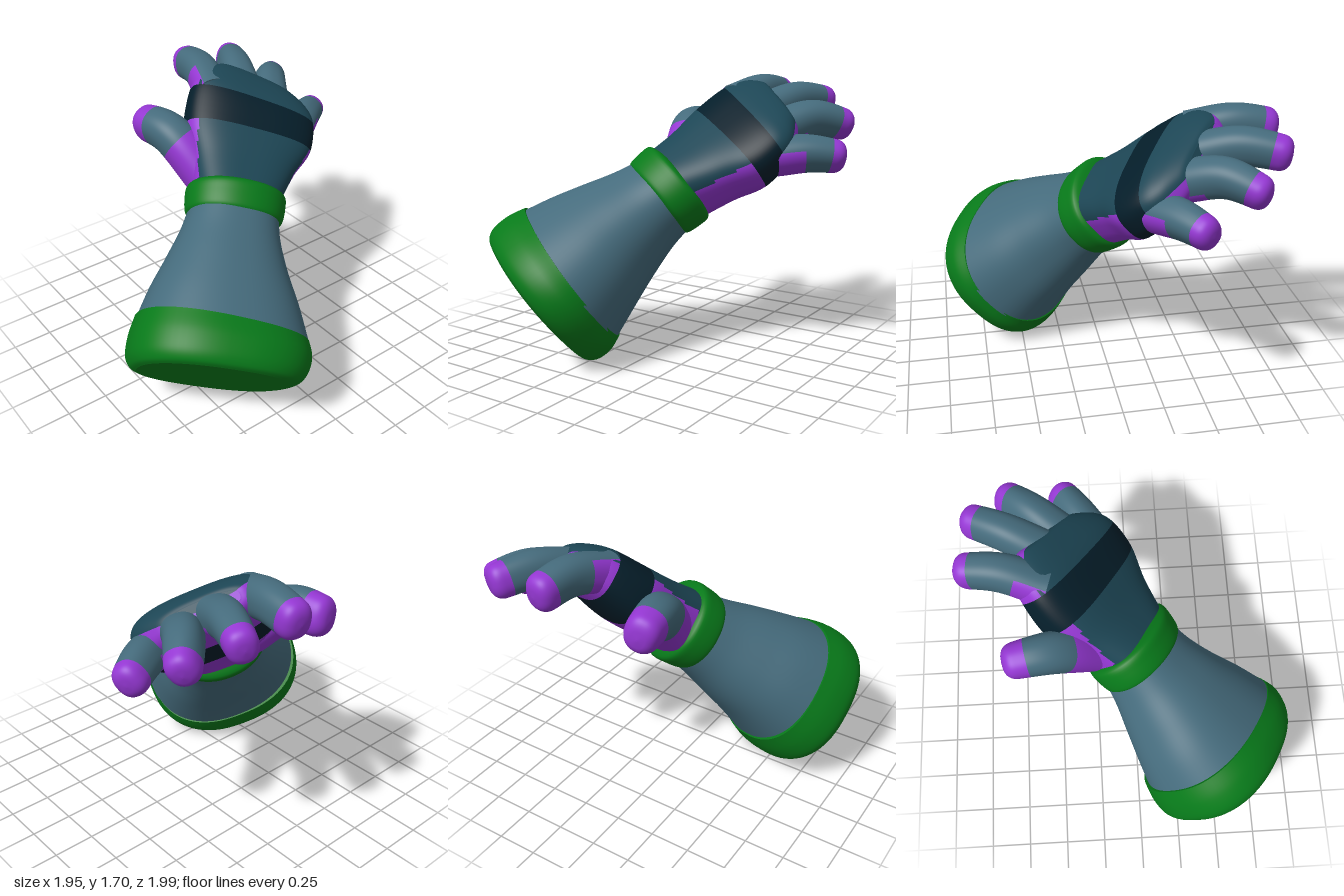
import * as THREE from 'three';

const V3 = (x, y, z) => new THREE.Vector3(x, y, z);
const mat = (name, color) => Object.assign(new THREE.MeshStandardMaterial({ color }), { name });

// Arm frame: A runs up the arm, N out of the back of the hand, W towards the little finger
const O = V3(0, 1.02, 0);
const A = V3(-0.57, 0.61, -0.55).normalize();
const W = V3(0.48, -0.3, -0.83).addScaledVector(A, -V3(0.48, -0.3, -0.83).dot(A)).normalize();
const N = W.clone().cross(A);
const SEG = 72;

// Smooth in-between rows for a short list of cross-sections
function resample(rows, sub) {
  const out = [];
  for (let i = 0; i < rows.length - 1; i++) {
    const p = [rows[Math.max(i - 1, 0)], rows[i], rows[i + 1], rows[Math.min(i + 2, rows.length - 1)]];
    for (let k = 0; k < sub; k++) {
      const t = k / sub;
      out.push(p[1].map((b, c) => {
        const [a, , d, e] = p.map((r) => r[c]);
        return b + 0.5 * t * (d - a + t * (2 * a - 5 * b + 4 * d - e + t * (3 * (b - d) + e - a)));
      }));
    }
  }
  out.push(rows[rows.length - 1]);
  return out;
}

// Skin through rings {c, u, v, e}; u x v points along the loft. pick(i, sin, cos) gives a material index
function loft(name, rings, materials, pick = () => 0) {
  const pos = [];
  const faces = materials.map(() => []);
  const spow = (x, e) => Math.sign(x) * Math.abs(x) ** (2 / e);
  const addRing = ({ c, u, v, e }) => {
    for (let j = 0; j < SEG; j++) {
      const th = (j / SEG) * Math.PI * 2;
      const p = c.clone().addScaledVector(u, spow(Math.cos(th), e)).addScaledVector(v, spow(Math.sin(th), e));
      pos.push(p.x, p.y, p.z);
    }
  };
  const bucket = (i, j) => {
    const th = ((j + 0.5) / SEG) * Math.PI * 2;
    return faces[pick(i, Math.sin(th), Math.cos(th))];
  };
  rings.forEach(addRing);
  for (let i = 0; i < rings.length - 1; i++) {
    for (let j = 0; j < SEG; j++) {
      const a = i * SEG + j, b = i * SEG + ((j + 1) % SEG);
      bucket(i, j).push(a, b, b + SEG, a, b + SEG, a + SEG);
    }
  }
  // End caps with their own vertices, so the rims stay crisp
  [0, rings.length - 1].forEach((r) => {
    const base = pos.length / 3;
    addRing(rings[r]);
    pos.push(...rings[r].c.toArray());
    for (let j = 0; j < SEG; j++) {
      const a = base + j, b = base + ((j + 1) % SEG), m = base + SEG;
      bucket(Math.min(r, rings.length - 2), j).push(...(r ? [m, a, b] : [m, b, a]));
    }
  });
  const g = new THREE.BufferGeometry();
  g.setAttribute('position', new THREE.Float32BufferAttribute(pos, 3));
  g.setIndex(faces.flat());
  let start = 0;
  faces.forEach((f, k) => {
    g.addGroup(start, f.length, k);
    start += f.length;
  });
  g.computeVertexNormals();
  const mesh = new THREE.Mesh(g, materials);
  mesh.name = name;
  return mesh;
}

// Rows: [along arm, slant, half width, half depth, width offset, depth offset]
const armRings = (rows, sub, e) => resample(rows, sub).map(([s, k, a, b, cw, cn]) => ({
  c: O.clone().addScaledVector(A, s).addScaledVector(W, cw).addScaledVector(N, cn),
  u: W.clone().multiplyScalar(-a).addScaledVector(A, -k * a),
  v: N.clone().multiplyScalar(b),
  e,
}));

// Rings along a bent finger, with a blunt round tip
function fingerRings(points, r0, r1) {
  const curve = new THREE.CatmullRomCurve3(points.map((p) => V3(...p)));
  const len = curve.getLength(), count = 50, rings = [];
  for (let i = 0; i <= count; i++) {
    const t = 1 - (1 - i / count) ** 1.3;
    const T = curve.getTangentAt(t);
    const v = N.clone().addScaledVector(T, -N.dot(T)).normalize();
    const u = v.clone().cross(T);
    const x = Math.max(0, 1 - ((1 - t) * len) / (r1 * 0.8));
    const r = THREE.MathUtils.lerp(r0, r1, t * t) * Math.max(0.05, (1 - x ** 2.7) ** (1 / 2.7));
    const side = r * (1 - 0.14 * t);
    rings.push({ c: curve.getPointAt(t), u: u.multiplyScalar(side), v: v.multiplyScalar(r), e: 2.3, t });
  }
  return rings;
}

export function createModel() {
  const blue = mat('slate blue', 0x456b7c);
  const teal = mat('dark teal', 0x1d4655);
  const navy = mat('navy', 0x051e2a);
  const green = mat('green', 0x087a1a);
  const purple = mat('purple', 0x9437d2);
  const group = new THREE.Group();
  group.name = 'glove';

  // Flared sleeve with its thick hem and the wrist cuff
  group.add(loft('sleeve', armRings([
    [-0.82, 0, 0.515, 0.43, 0, -0.01],
    [-0.6, 0, 0.445, 0.37, -0.01, 0],
    [-0.4, 0, 0.365, 0.32, -0.015, 0],
    [-0.2, 0, 0.3, 0.265, -0.01, 0],
    [-0.02, 0, 0.27, 0.23, 0, 0],
  ], 6, 2.3), [blue]));
  group.add(loft('hem', armRings([
    [-1.06, 0, 0.435, 0.395, -0.025, -0.015],
    [-1.04, 0, 0.485, 0.435, -0.015, -0.018],
    [-0.98, 0, 0.522, 0.462, -0.008, -0.02],
    [-0.88, -0.02, 0.53, 0.457, 0, -0.014],
    [-0.78, -0.05, 0.508, 0.425, 0, -0.01],
  ], 6, 2.4), [green]));
  group.add(loft('wristCuff', armRings([
    [-0.1, 0, 0.28, 0.24, 0, 0],
    [-0.075, 0, 0.3, 0.255, 0, 0],
    [0, 0, 0.31, 0.263, 0, 0],
    [0.07, 0, 0.305, 0.26, 0, 0],
    [0.1, 0, 0.26, 0.205, 0, 0],
  ], 5, 2.15), [green]));

  // Hand: purple palm, teal back, navy knuckle band all the way round
  const sub = 6;
  group.add(loft('hand', armRings([
    [0.04, 0, 0.265, 0.215, 0, 0],
    [0.25, 0, 0.33, 0.197, 0.02, -0.008],
    [0.45, -0.04, 0.41, 0.19, 0.04, -0.01],
    [0.66, -0.1, 0.41, 0.163, 0.045, 0.007],
    [0.78, -0.15, 0.36, 0.128, 0.045, 0.005],
    [0.86, -0.18, 0.26, 0.085, 0.04, 0],
    [0.88, -0.18, 0.2, 0.05, 0.035, 0],
  ], sub, 2.8), [teal, purple, navy], (i, sin, cos) => {
    const section = Math.floor(i / sub);
    if (section === 2) return 2;
    if (section > 2) return sin > (cos > 0.6 ? 0.45 : 0.12) ? 0 : 1;
    return sin > (cos > 0 ? 0.25 + 0.03 * i : 0.2 + 0.022 * i) ? 0 : 1;
  }));

  // Digits: path, base and tip radius, end of the purple base, its height on the
  // thumb side and on the little finger side, start of the tip
  const digits = [
    ['thumb', [[-0.22, 1.12, 0.03], [-0.48, 1.35, 0.135], [-0.75, 1.355, 0.185]], 0.14, 0.115, 0.42, 2, 2, 0.76],
    ['indexFinger', [[-0.47, 1.535, -0.19], [-0.72, 1.595, -0.26], [-0.975, 1.565, -0.3]], 0.115, 0.107, 0.34, 0.75, -0.2, 0.8],
    ['middleFinger', [[-0.48, 1.5, -0.43], [-0.69, 1.555, -0.525], [-0.94, 1.53, -0.645]], 0.112, 0.097, 0.28, -0.2, -0.2, 0.79],
    ['ringFinger', [[-0.35, 1.385, -0.55], [-0.55, 1.45, -0.7], [-0.745, 1.395, -0.87]], 0.118, 0.095, 0.3, -0.2, -0.2, 0.79],
    ['littleFinger', [[-0.2, 1.25, -0.63], [-0.3, 1.265, -0.79], [-0.42, 1.24, -0.975]], 0.116, 0.095, 0.38, -0.2, 0.7, 0.76],
  ];
  for (const [name, path, r0, r1, baseEnd, thumbSide, littleSide, tip] of digits) {
    const rings = fingerRings(path, r0, r1);
    group.add(loft(name, rings, [blue, purple], (i, sin, cos) => {
      const t = rings[i].t;
      return t > tip || (t < baseEnd && sin < (cos > 0 ? thumbSide : littleSide)) ? 1 : 0;
    }));
  }
  return group;
}
